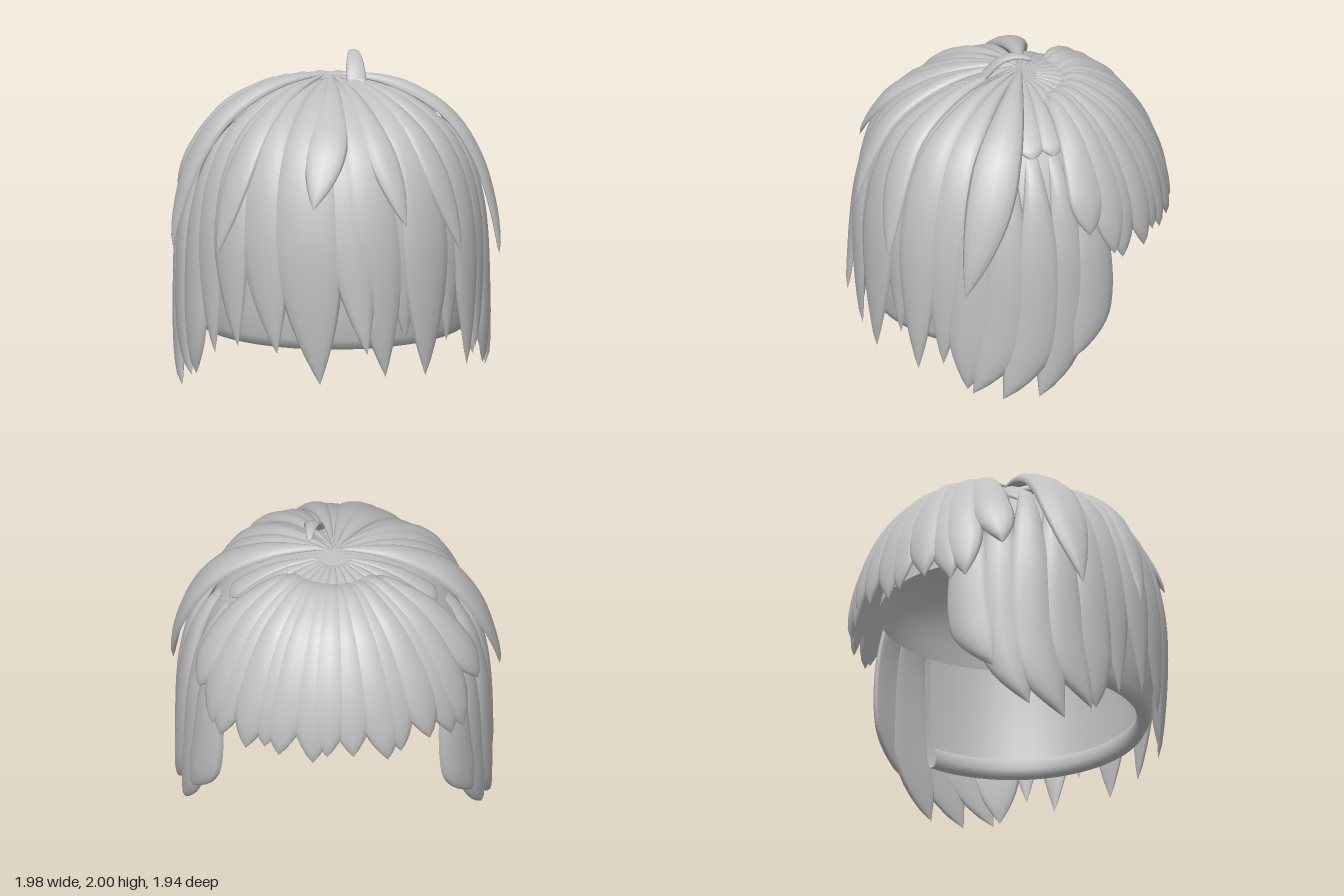
import * as THREE from 'three';

const V2 = (x, y) => new THREE.Vector2(x, y);

// Dome outline (radius, height) that every lock follows from crown to tip
const dome = new THREE.SplineCurve([
  V2(0, 1.83), V2(0.28, 1.785), V2(0.5, 1.69), V2(0.67, 1.55), V2(0.79, 1.33),
  V2(0.85, 1.08), V2(0.87, 0.85), V2(0.87, 0.55), V2(0.86, 0.25), V2(0.85, -0.05)]);
const samples = dome.getSpacedPoints(400);
const uAtRadius = r => samples.findIndex(p => p.x >= r) / 400;
const uAtHeight = y => samples.findIndex(p => p.y <= y) / 400;

// Closed skin over a list of rings, each with the same number of points
function skin(rings) {
  const n = rings[0].length, pos = [], index = [];
  rings.forEach(ring => ring.forEach(p => pos.push(p.x, p.y, p.z)));
  for (let i = 0; i < rings.length - 1; i++) {
    for (let k = 0; k < n; k++) {
      const a = i * n + k, b = i * n + (k + 1) % n;
      index.push(a, b, a + n, b, b + n, a + n);
    }
  }
  const g = new THREE.BufferGeometry();
  g.setAttribute('position', new THREE.Float32BufferAttribute(pos, 3));
  g.setIndex(index);
  g.computeVertexNormals();
  return g;
}

// Leaf-shaped lock lying on the dome: a0 to a1 is the azimuth, half the half-angle
function lockGeometry({ a0, a1, r0 = 0.04, y1, half, thick = 0.05, off = 0, taper = 0.6,
  start = 0.85, flare = 0, rise = 4, bend = 2 }) {
  const rows = 24, n = 12, uA = uAtRadius(r0), uB = uAtHeight(y1), rings = [];
  for (let i = 0; i <= rows; i++) {
    const t = i / rows, u = uA + (uB - uA) * t;
    const p = dome.getPointAt(u), tan = dome.getTangentAt(u);
    const f = t < taper ? start + (1 - start) * Math.sin(t / taper * Math.PI / 2)
      : 1 - ((t - taper) / (1 - taper)) ** 1.9;
    const a = a0 + (a1 - a0) * t ** bend;
    // locks flatten towards the crown and close at both ends
    const h = thick * Math.min(1, Math.sqrt(t * 9), 0.2 + p.x / 0.5) * Math.sqrt(Math.max(f, 0));
    const ring = [];
    for (let k = 0; k < n; k++) {
      const q = k / n * Math.PI * 2, s = Math.sin(q);
      const lift = off + flare * t ** rise + h * (s > 0 ? s : s * 0.4);
      const r = p.x - tan.y * lift, y = p.y + tan.x * lift, az = a + half * f * Math.cos(q);
      // the crown sits a little towards the fringe
      const shift = 0.1 * Math.max(0, 1 - p.x / 0.7);
      ring.push(new THREE.Vector3(Math.sin(az) * r, y, Math.cos(az) * r - shift));
    }
    rings.push(ring);
  }
  return skin(rings);
}

export function createModel() {
  const model = new THREE.Group();
  model.name = 'wig';
  const hair = new THREE.MeshStandardMaterial({ color: 0xc0c0c0 });
  hair.name = 'hair grey';
  hair.side = THREE.DoubleSide;
  const add = (parent, name, geometry) => {
    const m = new THREE.Mesh(geometry, hair);
    m.name = name;
    parent.add(m);
    return m;
  };
  const group = name => {
    const g = new THREE.Group();
    g.name = name;
    model.add(g);
    return g;
  };

  // Cap: full dome on top, open at the face below, rolled rim at the hem
  const cap = group('cap');
  const top = [V2(0.001, 1.78), V2(0.28, 1.74), V2(0.48, 1.655), V2(0.64, 1.51), V2(0.75, 1.31), V2(0.805, 1.08)];
  add(cap, 'capDome', new THREE.LatheGeometry(new THREE.SplineCurve(top).getPoints(24).reverse(), 64));
  const wall = [V2(0.8, 1.08), V2(0.8, 0.5), V2(0.75, 0.47), V2(0.74, 0.4), V2(0.76, 0.36), V2(0.8, 0.36),
    V2(0.83, 0.42), V2(0.84, 0.6), V2(0.835, 0.85), V2(0.81, 1.08)];
  add(cap, 'capWall', new THREE.LatheGeometry(wall, 56, -1.9, 3.8));

  // Long lower layer down the back: [azimuth, tip azimuth, tip height, half-angle, offset, flare]
  const lower = group('lowerLocks');
  [[-1.24, -1.1, 0.28, 0.17, 0, 0.02], [-1.02, -0.86, 0.36, 0.17, 0.01, 0.02], [-0.76, -0.56, 0.34, 0.2, 0, 0.02],
    [-0.4, -0.26, 0.16, 0.24, 0.015, 0], [-0.12, 0.05, 0.36, 0.17, -0.01, 0.09], [0.06, 0.2, 0.2, 0.2, 0.01, 0],
    [0.3, 0.36, 0.4, 0.16, -0.015, 0], [0.52, 0.51, 0.18, 0.21, 0.01, 0.01], [0.78, 0.75, 0.35, 0.16, -0.015, 0],
    [0.93, 0.95, 0.18, 0.17, 0.01, 0.02], [1.18, 1.14, 0.25, 0.17, 0, 0.02]
  ].forEach(([a0, a1, y1, half, off, flare]) =>
    add(lower, 'lowerLock', lockGeometry({ a0, a1, y1, half, off, flare, taper: 0.6, thick: 0.045 })));

  // Shorter layer lying over the back
  const upper = group('upperLocks');
  [[-0.9, -0.98, 0.9, 0.13], [-0.16, -0.3, 1.22, 0.18], [0.18, 0.32, 1.1, 0.13], [0.62, 0.76, 0.9, 0.13]
  ].forEach(([a0, a1, y1, half]) =>
    add(upper, 'upperLock', lockGeometry({ a0, a1, y1, half, off: 0.03, thick: 0.035, flare: 0.06 })));

  // Sweeping locks that frame each side, from the crown
  for (const [name, a0, a1, y1] of [['left', 1.56, 1.33, 0.78], ['right', -1.58, -1.47, 0.87]]) {
    add(upper, name + 'SweepLock', lockGeometry({ a0, a1, y1, half: 0.2, off: 0.025, taper: 0.42, flare: 0.1, rise: 2 }));
  }

  // Side locks in front of the ears, tips curling backwards
  const sides = group('sideLocks');
  for (const side of [1, -1]) {
    [[1.36, 1.32, 0.12, 0.17, 0.01, 0.6], [1.6, 1.36, 0.1, 0.17, 0.025, 0.67],
      [1.8, 1.56, side > 0 ? 0.08 : 0, 0.18, 0.035, 0.67], [2.0, 1.8, 0.08, 0.17, 0.025, 0.67],
      [2.2, 2.02, 0.31, 0.17, 0.035, 0.72]
    ].forEach(([a0, a1, y1, half, off, r0]) => add(sides, side > 0 ? 'leftSideLock' : 'rightSideLock',
      lockGeometry({ a0: a0 * side, a1: a1 * side, y1, half, off, r0, taper: 0.76, start: 0.3, bend: 6, flare: 0.03 })));
  }

  // Fringe over the face: starts at a straight parting, bulges outwards, and fans to the sides
  const fringe = group('fringe');
  const count = 15;
  for (let i = 0; i < count; i++) {
    const d = (i / (count - 1) - 0.5) * 2, a0 = Math.PI + d * 0.88;
    const a1 = Math.PI + d * (d < 0 ? 1.0 : 1.14) + 0.04 * Math.sin(i * 2.3);
    add(fringe, 'fringeLock', lockGeometry({
      a0, a1, r0: Math.max(0.28, 0.2 / Math.abs(Math.cos(a0))),
      y1: Math.abs(d) > 0.95 ? 1.1 : 0.92 + 0.03 * Math.sin(i * 1.9), half: 0.15, off: -0.02 + 0.005 * (i % 2),
      thick: 0.045, taper: 0.72, start: 0.95, bend: 1, flare: 0.12, rise: 0.75 }));
  }

  // Small ridged fan between the crown and the fringe
  const crown = group('crownFan');
  for (let i = 0; i < 13; i++) {
    const a = Math.PI + (i - 6) * 0.22;
    add(crown, 'crownRidge', lockGeometry({ a0: a, a1: a, r0: 0.09, y1: 1.55, half: 0.14, off: -0.03, thick: 0.025, taper: 0.85 }));
  }

  // Stray lock curling up from the crown
  const path = new THREE.CatmullRomCurve3([[0.12, 1.85, 0.12], [0.125, 1.92, 0.06], [0.13, 1.965, 0],
    [0.138, 1.983, -0.08], [0.145, 1.96, -0.17]].map(p => new THREE.Vector3(...p)));
  const rings = [];
  for (let i = 0; i <= 16; i++) {
    const t = i / 16, c = path.getPoint(t), tan = path.getTangent(t);
    const w = i === 16 ? 0 : 0.062 * (1 - 0.75 * t ** 1.5), h = i === 16 ? 0 : 0.022 * (1 - 0.4 * t);
    const ring = [];
    for (let k = 0; k < 12; k++) {
      const q = -k / 12 * Math.PI * 2, s = Math.sin(q) * h;
      ring.push(new THREE.Vector3(c.x + Math.cos(q) * w, c.y - tan.z * s, c.z + tan.y * s));
    }
    rings.push(ring);
  }
  add(model, 'strayLock', skin(rings));

  return model;
}
